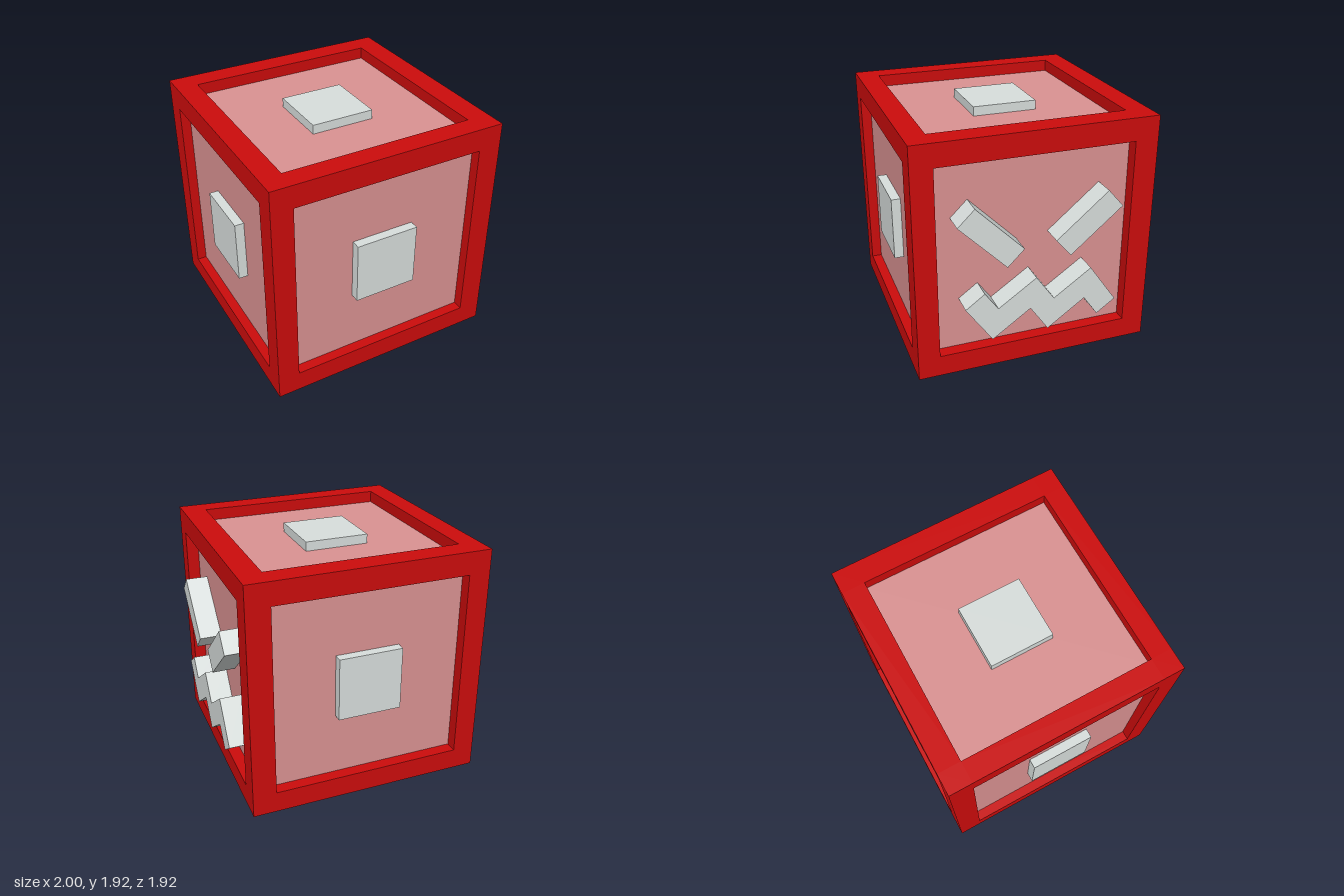
import * as THREE from 'three';

export function createModel() {
  const model = new THREE.Group();
  model.name = 'faceCube';

  const red = new THREE.MeshStandardMaterial({ color: 0xcc0c0c });
  const pink = new THREE.MeshStandardMaterial({ color: 0xda9292 });
  const pale = new THREE.MeshStandardMaterial({ color: 0xd8dedc });

  // Box between two corners
  function box(name, min, max, material, parent = model) {
    const size = max.map((v, i) => v - min[i]);
    const mesh = new THREE.Mesh(new THREE.BoxGeometry(...size), material);
    mesh.position.set(...max.map((v, i) => (v + min[i]) / 2));
    mesh.name = name;
    parent.add(mesh);
  }

  // Frame: per axis, outer start, opening start, opening end, outer end
  const stops = [
    [-1, -0.825, 0.73, 0.92],
    [0, 0.175, 1.735, 1.92],
    [-0.96, -0.772, 0.787, 0.96],
  ];
  const frame = new THREE.Group();
  frame.name = 'frame';
  model.add(frame);
  for (let axis = 0; axis < 3; axis++) {
    const [u, v] = [0, 1, 2].filter((i) => i !== axis);
    for (const a of [0, 2]) {
      for (const b of [0, 2]) {
        const min = [], max = [];
        // Upright posts run full height, the rails fit between them
        const full = axis === 1;
        min[axis] = stops[axis][full ? 0 : 1];
        max[axis] = stops[axis][full ? 3 : 2];
        min[u] = stops[u][a]; max[u] = stops[u][a + 1];
        min[v] = stops[v][b]; max[v] = stops[v][b + 1];
        box(full ? 'framePost' : 'frameRail', min, max, red, frame);
      }
    }
  }

  // Inner body that shows as the recessed panels
  const center = [-0.05, 0.954, 0.007];
  const half = 0.87;
  box('innerBody', center.map((c) => c - half), center.map((c) => c + half), pink);

  // Square pads on every side except the face side (+x)
  const sides = [['left', 0, -1], ['top', 1, 1], ['bottom', 1, -1], ['front', 2, 1], ['back', 2, -1]];
  for (const [label, axis, sign] of sides) {
    const min = center.map((c) => c - 0.259);
    const max = center.map((c) => c + 0.259);
    const inner = center[axis] + sign * half;
    const outer = inner + sign * 0.075;
    min[axis] = Math.min(inner, outer);
    max[axis] = Math.max(inner, outer);
    box(label + 'Pad', min, max, pale);
  }

  // Raised face features, outlined as [z, y] and extruded along x
  function feature(name, points) {
    const shape = new THREE.Shape(points.map(([z, y]) => new THREE.Vector2(-z, y)));
    const geometry = new THREE.ExtrudeGeometry(shape, { depth: 0.18, bevelEnabled: false });
    geometry.rotateY(Math.PI / 2);
    const mesh = new THREE.Mesh(geometry, pale);
    mesh.position.x = 0.82;
    mesh.name = name;
    model.add(mesh);
  }
  feature('frontEye', [[0.52, 1.42], [0.136, 1.036], [0.27, 0.902], [0.653, 1.289]]);
  feature('backEye', [[-0.532, 1.407], [-0.656, 1.263], [-0.239, 0.912], [-0.118, 1.057]]);
  feature('zigzagMouth', [
    [0.602, 0.6], [0.45, 0.711], [0.342, 0.56], [0.036, 0.77], [-0.113, 0.56], [-0.416, 0.77],
    [-0.64, 0.448], [-0.488, 0.34], [-0.37, 0.508], [-0.067, 0.294], [0.082, 0.508], [0.388, 0.294],
  ]);

  return model;
}
